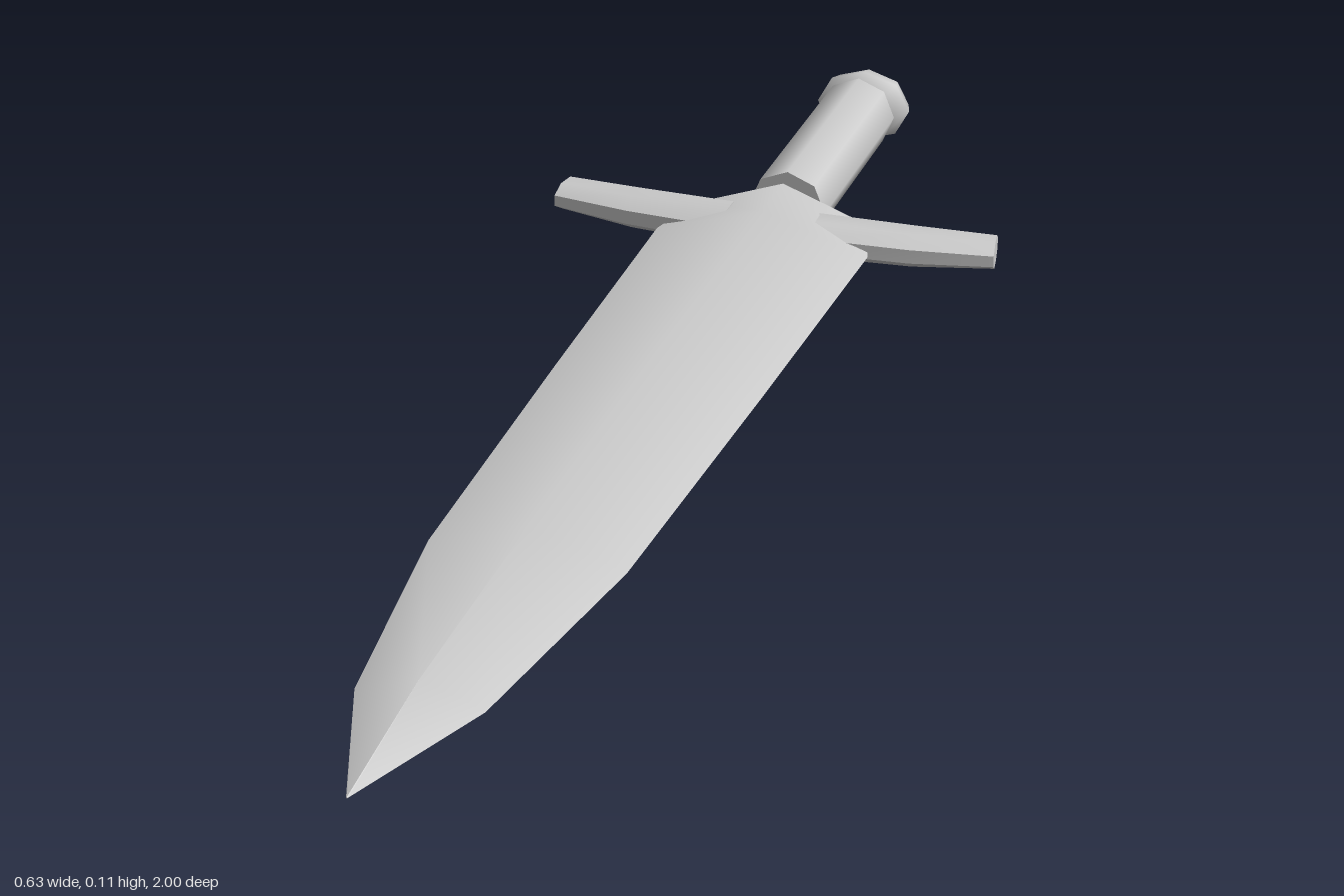
import * as THREE from 'three';
import { toCreasedNormals } from 'three/addons/utils/BufferGeometryUtils.js';

const MID = 0.058; // height of the dagger's long axis
const material = new THREE.MeshStandardMaterial({ color: 0xcccccc, side: THREE.DoubleSide });

// Skin equal-length rings of points, closing both ends with fans
function loft(rings) {
  const n = rings[0].length;
  const pos = rings.flat(2);
  const index = [];
  for (let r = 0; r < rings.length - 1; r++) {
    for (let i = 0; i < n; i++) {
      const a = r * n + i, b = r * n + (i + 1) % n;
      index.push(a, b, a + n, b, b + n, a + n);
    }
  }
  const last = (rings.length - 1) * n;
  for (let i = 1; i < n - 1; i++) {
    index.push(0, i + 1, i, last, last + i, last + i + 1);
  }
  const g = new THREE.BufferGeometry();
  g.setAttribute('position', new THREE.Float32BufferAttribute(pos, 3));
  g.setIndex(index);
  return toCreasedNormals(g, 0.9);
}

function add(group, name, geometry) {
  const mesh = new THREE.Mesh(geometry, material);
  mesh.name = name;
  group.add(mesh);
  return mesh;
}

export function createModel() {
  const model = new THREE.Group();
  model.name = 'dagger';

  // Blade: diamond sections [z, half width, half height]
  const blade = [
    [-0.54, 0.125, 0.046], [-0.44, 0.15, 0.047], [0, 0.138, 0.045],
    [0.47, 0.122, 0.037], [0.8, 0.076, 0.026], [1, 0.001, 0.001],
  ];
  add(model, 'blade', loft(blade.map(([z, w, h]) =>
    [[w, MID, z], [0, MID + h, z], [-w, MID, z], [0, MID - h, z]])));

  // Crossguard arms: tapered octagons sweeping back, [x, z, half depth, half height, slant]
  const arm = [
    [0.06, -0.488, 0.038, 0.026, 0], [0.2, -0.496, 0.036, 0.024, 0.003],
    [0.31, -0.513, 0.032, 0.019, 0.005],
  ];
  for (const [name, s] of [['leftGuardArm', 1], ['rightGuardArm', -1]]) {
    add(model, name, loft(arm.map(([x, z, d, h, slant]) =>
      Array.from({ length: 8 }, (_, i) => {
        const a = s * (i + 0.5) * Math.PI / 4;
        const c = Math.cos(a) / Math.cos(Math.PI / 8), k = Math.sin(a) / Math.sin(Math.PI * 3 / 8);
        return [s * (x + slant * c), MID - h * k, z + d * c];
      }))));
  }

  // Grip: eight-sided bar
  const grip = new THREE.CylinderGeometry(0.055, 0.055, 0.36, 8).rotateX(Math.PI / 2);
  add(model, 'grip', grip).position.set(0, MID, -0.74);

  // Pommel: rounded eight-sided knob, slightly wider than tall
  const profile = [[0, 0.91], [0.056, 0.92], [0.07, 0.95], [0.062, 0.976], [0.04, 0.993], [0, 1]]
    .map(([r, y]) => new THREE.Vector2(r, y));
  const pommel = new THREE.LatheGeometry(profile, 8).rotateX(-Math.PI / 2).scale(1, 0.77, 1);
  add(model, 'pommel', pommel).position.y = MID;

  return model;
}
